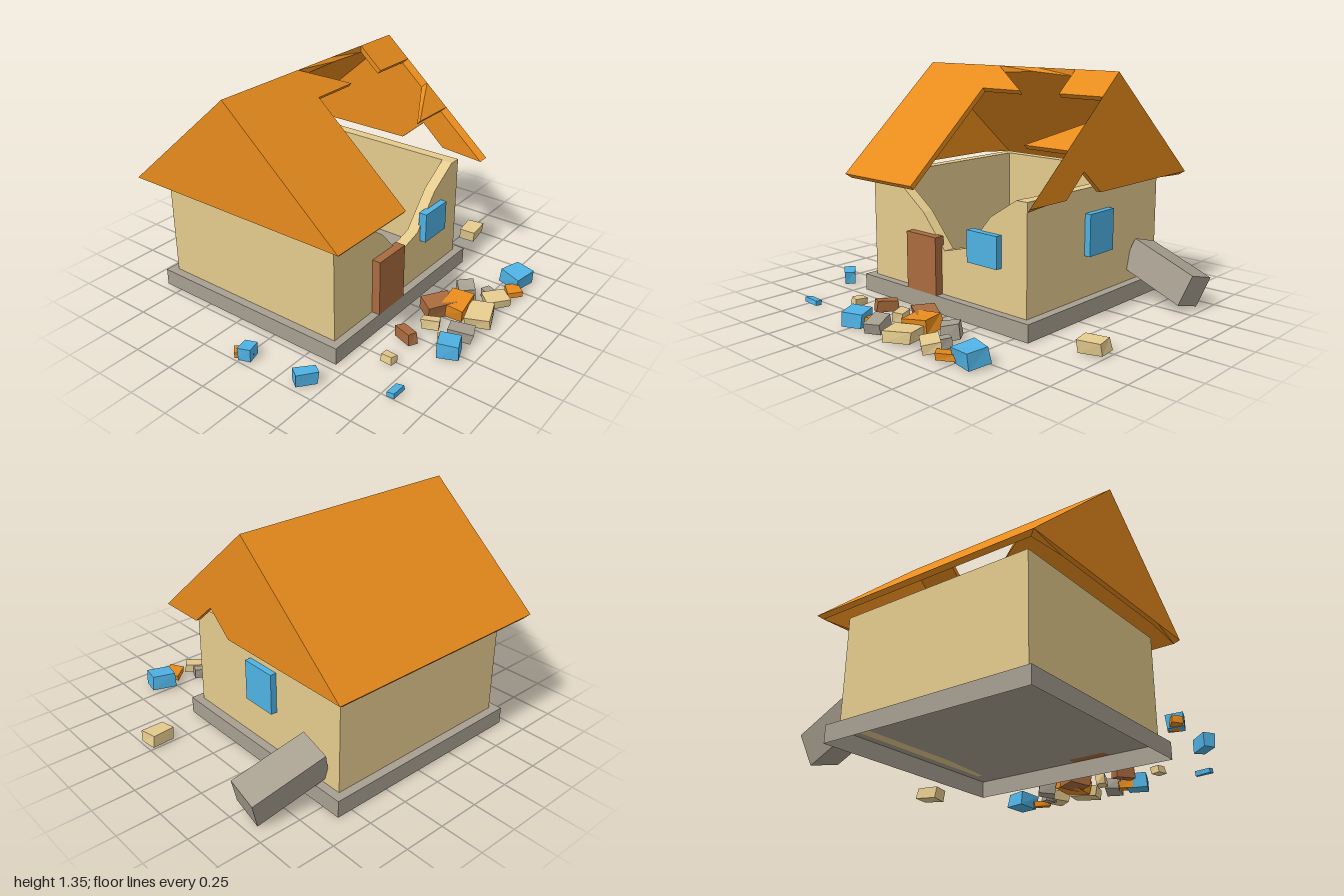
import * as THREE from 'three';

const mat = (name, color) => Object.assign(new THREE.MeshStandardMaterial({ color }), { name });

export function createModel() {
  const orange = mat('roofOrange', 0xe98c1d);
  const cream = mat('wallCream', 0xe4ca8d);
  const gray = mat('stoneGray', 0xa79f90);
  gray.side = THREE.DoubleSide; // the foundation is an open shell
  const brown = mat('doorBrown', 0xa96b3e);
  const blue = mat('windowBlue', 0x4fb2e4);
  const model = new THREE.Group();
  model.name = 'ruinedHouse';

  const add = (parent, name, geometry, material) => {
    const mesh = new THREE.Mesh(geometry, material);
    mesh.name = name;
    parent.add(mesh);
    return mesh;
  };
  // Box given by its lower and upper limits on each axis
  const block = (name, material, x0, x1, y0, y1, z0, z1) => {
    const mesh = add(model, name, new THREE.BoxGeometry(x1 - x0, y1 - y0, z1 - z0), material);
    mesh.position.set((x0 + x1) / 2, (y0 + y1) / 2, (z0 + z1) / 2);
    return mesh;
  };

  // Foundation, open underneath: the six indices of each box side run +x -x +y -y +z -z
  const base = block('foundation', gray, -0.706, 0.594, 0, 0.1, -0.864, 0.43).geometry;
  base.setIndex([...base.index.array].filter((_, i) => Math.floor(i / 6) !== 3));
  base.clearGroups();

  // Intact walls
  block('backWall', cream, -0.656, 0.543, 0.1, 0.72, -0.814, -0.748);
  block('leftWall', cream, 0.477, 0.543, 0.1, 0.72, -0.748, 0.315);
  block('rightWall', cream, -0.656, -0.59, 0.1, 0.72, -0.748, 0.315);

  // Front wall with a broken top edge
  const wallShape = new THREE.Shape([
    [-0.656, 0.1], [0.543, 0.1], [0.543, 0.72], [0.47, 0.72], [0.29, 0.605], [0.12, 0.405],
    [-0.06, 0.355], [-0.23, 0.55], [-0.41, 0.68], [-0.52, 0.705], [-0.656, 0.72],
  ].map(([x, y]) => new THREE.Vector2(x, y)));
  const frontWall = add(model, 'frontWall',
    new THREE.ExtrudeGeometry(wallShape, { depth: 0.067, bevelEnabled: false }), cream);
  frontWall.position.z = 0.315;

  // Door and windows
  block('door', brown, -0.32, -0.083, 0.1, 0.435, 0.37, 0.432);
  block('frontWindow', blue, 0.15, 0.367, 0.34, 0.52, 0.37, 0.42);
  block('sideWindow', blue, 0.53, 0.58, 0.34, 0.58, -0.322, -0.105);

  // Plate between an outer and an inner copy of a counter-clockwise outline
  const plate = (outline, outer, inner) => {
    const loop = outline.map(([a, b]) => new THREE.Vector2(a, b));
    const out = outline.map(p => outer(...p));
    const inn = outline.map(p => inner(...p));
    const pos = [];
    const tri = (...corners) => corners.forEach(c => pos.push(...c));
    THREE.ShapeUtils.triangulateShape(loop, []).forEach(([a, b, c]) => {
      tri(out[a], out[b], out[c]);
      tri(inn[a], inn[c], inn[b]);
    });
    out.forEach((p, i) => {
      const j = (i + 1) % out.length;
      tri(p, inn[i], inn[j]);
      tri(p, inn[j], out[j]);
    });
    const g = new THREE.BufferGeometry();
    g.setAttribute('position', new THREE.Float32BufferAttribute(pos, 3));
    g.computeVertexNormals();
    return g;
  };

  // Roof: a hollow gabled shell centred under its ridge
  const roof = new THREE.Group();
  roof.name = 'roof';
  roof.position.set(-0.057, 0, -0.217);
  model.add(roof);
  const pitch = 0.63 / 0.722;
  const reach = y => (1.35 - y) / pitch;
  // A point marked free is cut square to the slope instead of mitred at the ridge
  const slope = outline => plate(outline,
    (u, y) => [u, y, reach(y)],
    (u, y, free) => {
      const z = Math.max(free ? -1 : 0, reach(y) - 0.02);
      return [THREE.MathUtils.clamp(u, -0.69, 0.69), 1.31 - z * pitch, z];
    });
  const gable = outline => plate(outline,
    (v, y) => [0.72, y, -v],
    (v, y) => {
      if (Math.abs(Math.abs(v) - reach(y)) > 0.01) return [0.69, y, -v];
      const z = Math.max(0, Math.abs(v) - 0.02);
      return [0.69, 1.31 - z * pitch, -Math.sign(v) * z];
    });

  add(roof, 'frontSlope', slope([
    [-0.72, 0.72], [-0.14, 0.72], [-0.14, 1.225], [0.15, 1.225], [-0.14, 1.35], [-0.72, 1.35],
  ]), orange);
  add(roof, 'frontSlopeCorner',
    slope([[0.43, 1.225], [0.72, 1.225], [0.72, 1.35], [0.43, 1.35]]), orange);
  add(roof, 'frontSlopeShard', slope([[0.43, 0.975], [0.72, 0.975], [0.72, 1.1]]), orange);
  add(roof, 'backSlope', slope([
    [-0.72, 0.72], [0.72, 0.72], [0.72, 1.35], [0.14, 1.35], [-0.15, 1.35, true],
    [-0.43, 1.35], [-0.72, 1.35],
  ]), orange).rotation.y = Math.PI;
  add(roof, 'leftGable', gable([
    [-0.722, 0.72], [-0.435, 0.72], [-0.29, 0.85], [-0.14, 0.72], [0.45, 0.72], [0.722, 0.72], [0, 1.35],
  ]), orange);
  add(roof, 'rightGable', gable([
    [-0.722, 0.72], [-0.45, 0.72], [0.45, 0.72], [0.722, 0.72], [0, 1.35],
  ]), orange).rotation.y = Math.PI;

  // Fallen chimney leaning on the side wall
  const chimney = add(model, 'fallenChimney', new THREE.BoxGeometry(0.445, 0.19, 0.19), gray);
  const along = new THREE.Vector3(0.42, -0.13, 0.06).normalize();
  const across = new THREE.Vector3(-0.02, 0.05, 0.18);
  across.addScaledVector(along, -across.dot(along)).normalize();
  const up = new THREE.Vector3().crossVectors(across, along);
  chimney.quaternion.setFromRotationMatrix(new THREE.Matrix4().makeBasis(along, up, across));
  chimney.position.set(0.753, 0.178, -0.61);

  // Rubble: irregular, slightly tilted chunks lying on the ground
  let seed = 7;
  const random = () => (seed = (seed * 16807) % 2147483647) / 2147483647;
  const chunk = (w, h, d) => {
    const g = new THREE.BoxGeometry(w, h, d).toNonIndexed();
    const corners = {};
    const p = g.attributes.position;
    for (let i = 0; i < p.count; i++) {
      const x = p.getX(i), y = p.getY(i), z = p.getZ(i);
      const k = [x > 0, y > 0, z > 0].join();
      corners[k] ??= [0, 1, 2].map(() => 0.82 + random() * 0.2);
      p.setXYZ(i, x * corners[k][0], y * corners[k][1], z * corners[k][2]);
    }
    g.computeVertexNormals();
    return g;
  };
  // material, x, z, width, height, depth, turn
  [
    [orange, -0.945, -0.005, 0.06, 0.04, 0.11, 0.7],
    [blue, -0.938, 0.018, 0.09, 0.08, 0.08, 0.3],
    [blue, -0.91, 0.395, 0.13, 0.08, 0.07, -0.65],
    [blue, -0.71, 0.81, 0.1, 0.03, 0.05, 0.05],
    [cream, -0.515, 0.635, 0.055, 0.045, 0.08, -0.1],
    [brown, -0.305, 0.605, 0.06, 0.07, 0.14, -0.4],
    [cream, -0.13, 0.65, 0.06, 0.06, 0.11, 0.4],
    [brown, 0.02, 0.6, 0.18, 0.09, 0.135, -0.55],
    [orange, 0.09, 0.69, 0.18, 0.09, 0.15, 0.1],
    [gray, 0.26, 0.645, 0.11, 0.09, 0.11, 0.7],
    [gray, 0.325, 0.765, 0.06, 0.06, 0.08, -0.4],
    [cream, 0.095, 0.835, 0.18, 0.065, 0.15, 0.3],
    [cream, 0.295, 0.825, 0.15, 0.06, 0.11, -0.7],
    [gray, -0.11, 0.83, 0.1, 0.065, 0.15, 0.4],
    [orange, -0.21, 0.8, 0.09, 0.05, 0.1, 0.5],
    [blue, -0.26, 0.85, 0.13, 0.09, 0.13, 0.4],
    [orange, 0.45, 0.86, 0.12, 0.04, 0.09, 0.7],
    [blue, 0.57, 0.82, 0.15, 0.09, 0.14, -0.25],
    [cream, 0.915, 0.305, 0.15, 0.075, 0.11, 0.1],
  ].forEach(([material, x, z, w, h, d, turn], i) => {
    const mesh = add(model, `rubble${i + 1}`, chunk(w, h, d), material);
    const tilt = () => (random() - 0.5) * 0.3;
    mesh.rotation.set(tilt(), turn, tilt(), 'YXZ');
    // Rest the lowest corner on the ground
    mesh.position.set(x, -new THREE.Box3().setFromObject(mesh, true).min.y, z);
  });

  return model;
}
